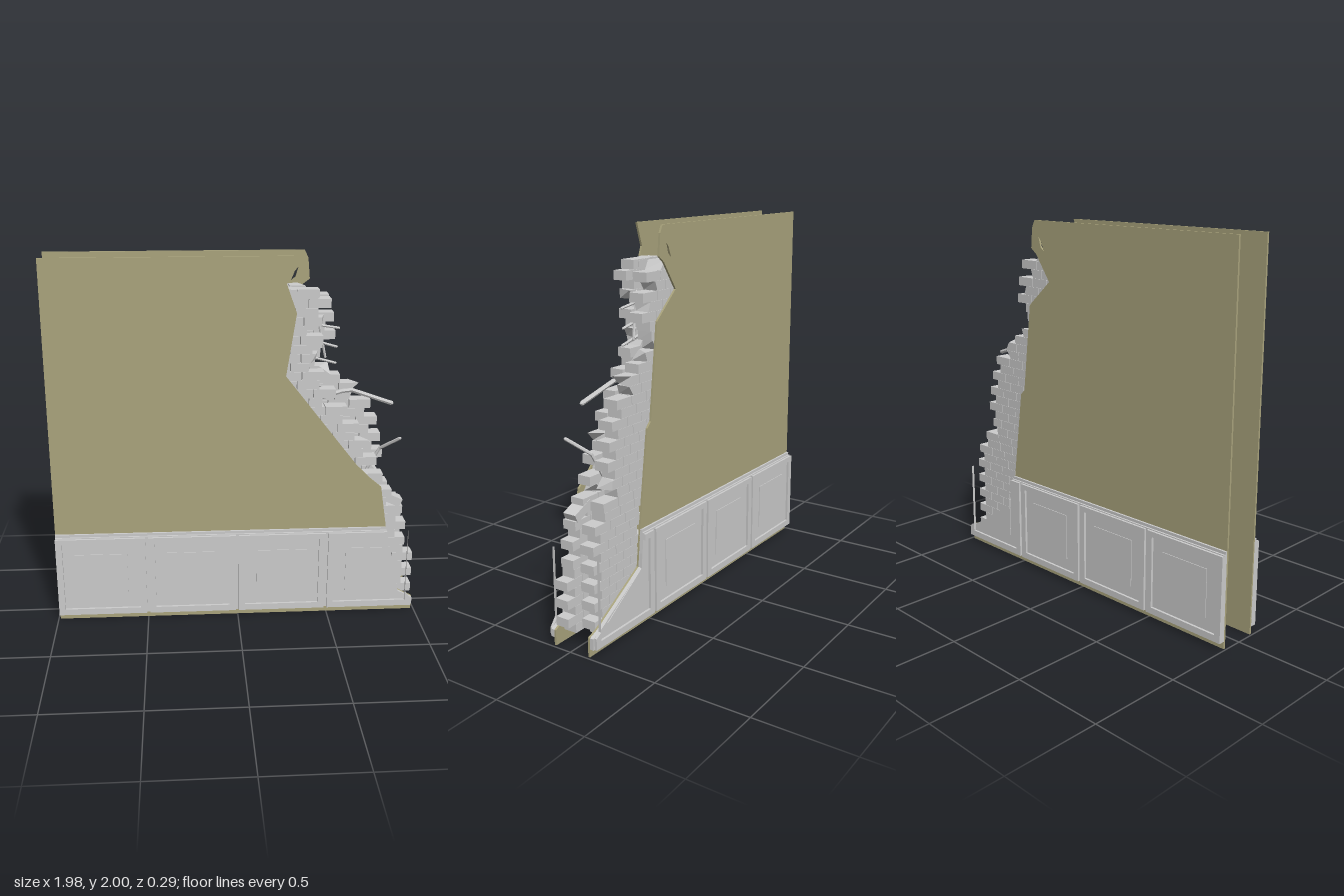
import * as THREE from 'three';
import { mergeGeometries } from 'three/addons/utils/BufferGeometryUtils.js';

const grey = new THREE.MeshStandardMaterial({ color: 0xcccccc, flatShading: true });
const plaster = new THREE.MeshStandardMaterial({ color: 0xaaa47d, flatShading: true });

let seed = 7;
const rand = () => ((seed = (seed * 16807) % 2147483647) / 2147483647);

// Broken edges as [x, y], from the floor up
const FRONT_EDGE = [[0.985, 0], [0.985, 0.08], [0.9, 0.125], [0.82, 0.5], [0.78, 0.75], [0.72, 0.8], [0.64, 0.88],
  [0.25, 1.38], [0.3, 1.71], [0.24, 1.88], [0.28, 2]];
const BACK_EDGE = [[0.985, 0], [0.985, 0.1], [0.93, 0.12], [0.59, 0.32], [0.57, 0.51], [0.53, 0.8], [0.5, 1.02],
  [0.47, 1.05], [0.41, 1.54], [0.25, 1.68], [0.35, 1.82], [0.39, 1.85], [0.38, 1.96], [0.36, 2]];

// Brick limits as [x, y]
const FRONT_BRICKS = [[0.95, 0.06], [0.95, 0.38], [0.9, 0.42], [0.9, 0.58], [0.84, 0.66], [0.76, 0.8], [0.68, 1],
  [0.54, 1.2], [0.42, 1.38], [0.41, 1.6], [0.45, 1.75], [0.44, 1.83]];
const BACK_BRICKS = [[0.9, 0.06], [0.9, 0.57], [0.86, 0.66], [0.79, 0.73], [0.77, 0.95], [0.73, 1.12], [0.66, 1.26],
  [0.58, 1.33], [0.47, 1.38], [0.48, 1.5], [0.5, 1.6], [0.46, 1.75], [0.4, 1.83]];

// x of a broken edge at height y
function edgeAt(edge, y) {
  for (let i = 1; i < edge.length; i++) {
    const [x0, y0] = edge[i - 1], [x1, y1] = edge[i];
    if (y <= y1 && y1 > y0) return x0 + (x1 - x0) * Math.max(0, (y - y0) / (y1 - y0));
  }
  return edge[edge.length - 1][0];
}

// Extrude a flat outline between two distances from the wall's mid-plane
function slab(points, near, far, side, hole) {
  const shape = new THREE.Shape(points.map(([x, y]) => new THREE.Vector2(x, y)));
  if (hole) shape.holes.push(new THREE.Path(hole.map(([x, y]) => new THREE.Vector2(x, y))));
  const g = new THREE.ExtrudeGeometry(shape, { depth: far - near, bevelEnabled: false });
  return g.translate(0, 0, side > 0 ? near : -far);
}

// Rectangle cut off along the broken edge; null when nothing is left
function cutRect(x0, y0, x1, y1, edge) {
  const ys = [y0, ...edge.map(p => p[1]).filter(y => y > y0 && y < y1), y1];
  const right = ys.map(y => [Math.min(x1, Math.max(x0, edgeAt(edge, y))), y]);
  if (right.every(p => p[0] - x0 < 0.003)) return null;
  return [[x0, y0], ...right, [x0, y1]]
    .filter((p, i, a) => i === 0 || Math.hypot(p[0] - a[i - 1][0], p[1] - a[i - 1][1]) > 1e-4);
}

function add(parent, name, geometry, material) {
  const mesh = new THREE.Mesh(geometry, material);
  mesh.name = name;
  parent.add(mesh);
  return mesh;
}

// Panelling: backing board, raised frames and centre fields
function wainscot(edge, side) {
  const parts = [];
  const piece = (x0, y0, x1, y1, near, far) => {
    const outline = cutRect(x0, y0, x1, y1, edge);
    if (outline) parts.push(slab(outline, near, far, side));
  };
  piece(-0.99, 0.04, 0.983, 0.5, 0.109, 0.132);
  piece(-0.99, 0.5, 0.983, 0.515, 0.109, 0.122);
  for (let i = 0; i < 4; i++) {
    const l = -0.99 + i * 0.493 + (i ? 0.008 : 0), r = -0.99 + (i + 1) * 0.493 - 0.008;
    piece(l, 0.04, l + 0.035, 0.495, 0.13, 0.145);
    piece(r - 0.035, 0.04, r, 0.495, 0.13, 0.145);
    piece(l + 0.035, 0.04, r - 0.035, 0.075, 0.13, 0.145);
    piece(l + 0.035, 0.465, r - 0.035, 0.495, 0.13, 0.145);
    piece(l + 0.1, 0.14, r - 0.1, 0.4, 0.13, 0.136);
  }
  return mergeGeometries(parts);
}

// One brick; a chipped one has its right-hand corners pushed in
function brick(x0, x1, y, h, z0, z1, chip) {
  const g = new THREE.BoxGeometry(x1 - x0, h, z1 - z0);
  if (chip) {
    const p = g.attributes.position, cuts = [rand(), rand(), rand(), rand()];
    for (let i = 0; i < p.count; i++) {
      if (p.getX(i) < 0) continue;
      const corner = (p.getY(i) > 0 ? 1 : 0) + (p.getZ(i) > 0 ? 2 : 0);
      p.setX(i, p.getX(i) - cuts[corner] * 0.6 * (x1 - x0));
    }
    g.computeVertexNormals();
  }
  return g.translate((x0 + x1) / 2, y + h / 2, (z0 + z1) / 2);
}

// Courses in running bond, toothed at the broken end
function brickwork(limit, z0, z1, minX) {
  const parts = [], rows = 37, pitch = 1.77 / rows, length = 0.115;
  for (let r = 0; r < rows; r++) {
    const y = 0.06 + r * pitch;
    const end = edgeAt(limit, y + pitch / 2) + (r % 2 ? 0.028 : -0.028);
    const start = Math.max(minX, end - 0.36);
    const chipped = y > 0.7 && rand() < 0.45;
    for (let x = end, i = 0; x > start + 0.02; x -= length, i++) {
      const inset = i ? 0.004 : 0;
      parts.push(brick(Math.max(start, x - length), x - inset, y, pitch - 0.001, z0, z1, i === 0 && chipped));
    }
  }
  return mergeGeometries(parts);
}

// Bent or straight stick through a few points
function stick(points, radius) {
  const path = new THREE.CurvePath();
  const v = points.map(p => new THREE.Vector3(...p));
  for (let i = 1; i < v.length; i++) path.add(new THREE.LineCurve3(v[i - 1], v[i]));
  const parts = [new THREE.TubeGeometry(path, (v.length - 1) * 4, radius, 6)];
  for (const p of [v[0], v[v.length - 1]]) {
    parts.push(new THREE.IcosahedronGeometry(radius, 0).translate(p.x, p.y, p.z));
  }
  for (let i = 0; i < parts.length; i++) if (parts[i].index) parts[i] = parts[i].toNonIndexed();
  return mergeGeometries(parts);
}

export function createModel() {
  const model = new THREE.Group();
  model.name = 'brokenWall';

  // Plaster skins and panelling on both faces
  const slit = [[0.29, 1.84], [0.315, 1.86], [0.33, 1.915], [0.31, 1.89]];
  for (const [name, edge, side, hole] of [['front', FRONT_EDGE, 1, null], ['back', BACK_EDGE, -1, slit]]) {
    const face = new THREE.Group();
    face.name = name + 'Face';
    add(face, name + 'Plaster', slab([[-0.99, 0], ...edge, [-0.99, 2]], 0.1, 0.111, side, hole), plaster);
    add(face, name + 'Wainscot', wainscot(edge, side), grey);
    model.add(face);
  }

  // Two leaves of brick
  add(model, 'frontBricks', brickwork(FRONT_BRICKS, 0.025, 0.1, 0.18), grey);
  add(model, 'backBricks', brickwork(BACK_BRICKS, -0.1, -0.02, 0.14), grey);

  // Loose bricks
  for (const [x, y, z, tilt] of [[0.84, 0.67, 0.06, -0.42], [0.31, 1.805, 0.06, -0.08]]) {
    const loose = add(model, 'looseBrick', new THREE.BoxGeometry(0.125, 0.046, 0.074), grey);
    loose.position.set(x, y, z);
    loose.rotation.z = tilt;
  }

  // Pipes and splintered laths in the cavity
  const sticks = [
    ['bentPipe', 0.012, [[0.4, 1.22, 0.015], [0.6, 1.275, 0], [0.83, 1.2, 0.025]]],
    ['brokenPipe', 0.009, [[0.72, 0.81, -0.01], [0.78, 0.94, 0.015], [0.87, 1.025, 0.1]]],
    ['lath', 0.007, [[0.34, 1.64, 0.0], [0.535, 1.61, 0.01]]],
    ['lath', 0.007, [[0.34, 1.56, -0.01], [0.525, 1.51, 0.01]]],
    ['lath', 0.007, [[0.33, 1.475, 0.01], [0.52, 1.425, 0.02]]],
    ['lath', 0.007, [[0.35, 1.69, 0.01], [0.37, 1.42, -0.01]]],
    ['lath', 0.007, [[0.42, 1.68, 0.005], [0.47, 1.45, -0.01]]],
    ['lath', 0.007, [[0.37, 1.36, 0.09], [0.46, 1.29, 0.03]]],
  ];
  for (const [name, radius, points] of sticks) add(model, name, stick(points, radius), grey);

  return model;
}
